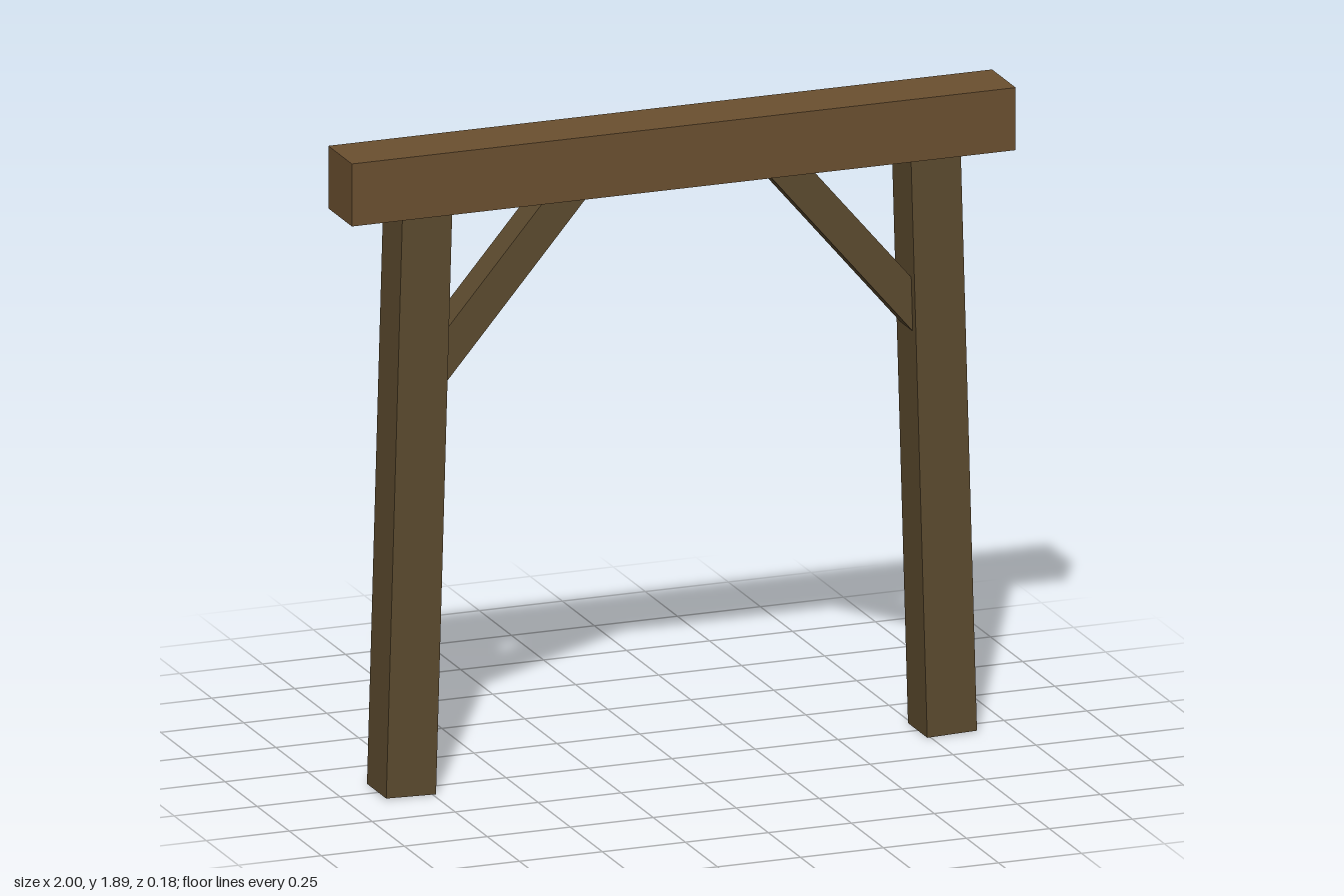
import * as THREE from 'three';

const beamWood = new THREE.MeshStandardMaterial({ color: 0x6b5030, flatShading: true });
const postWood = new THREE.MeshStandardMaterial({ color: 0x5c4a2e, flatShading: true });

// Square timber whose centre line runs between two points in the xy plane
function timber(name, [x0, y0], [x1, y1], thickness, material) {
  const length = Math.hypot(x1 - x0, y1 - y0);
  const mesh = new THREE.Mesh(new THREE.BoxGeometry(thickness, length, thickness), material);
  mesh.position.set((x0 + x1) / 2, (y0 + y1) / 2, 0);
  mesh.rotation.z = Math.atan2(x0 - x1, y1 - y0);
  mesh.name = name;
  return mesh;
}

export function createModel() {
  const group = new THREE.Group();
  group.name = 'timberFrame';

  // Crossbeam
  const beam = new THREE.Mesh(new THREE.BoxGeometry(2, 0.184, 0.184), beamWood);
  beam.position.y = 1.797;
  beam.name = 'crossbeam';
  group.add(beam);

  for (const [side, s] of [['left', 1], ['right', -1]]) {
    // Leaning post, its head let into the beam
    group.add(timber(side + 'Post', [s * 0.815, 0.002], [s * 0.765, 1.75], 0.15, postWood));
    // Diagonal brace, both ends let into the post and beam
    group.add(timber(side + 'Brace', [s * 0.76, 1.207], [s * 0.288, 1.76], 0.1, postWood));
  }
  return group;
}
